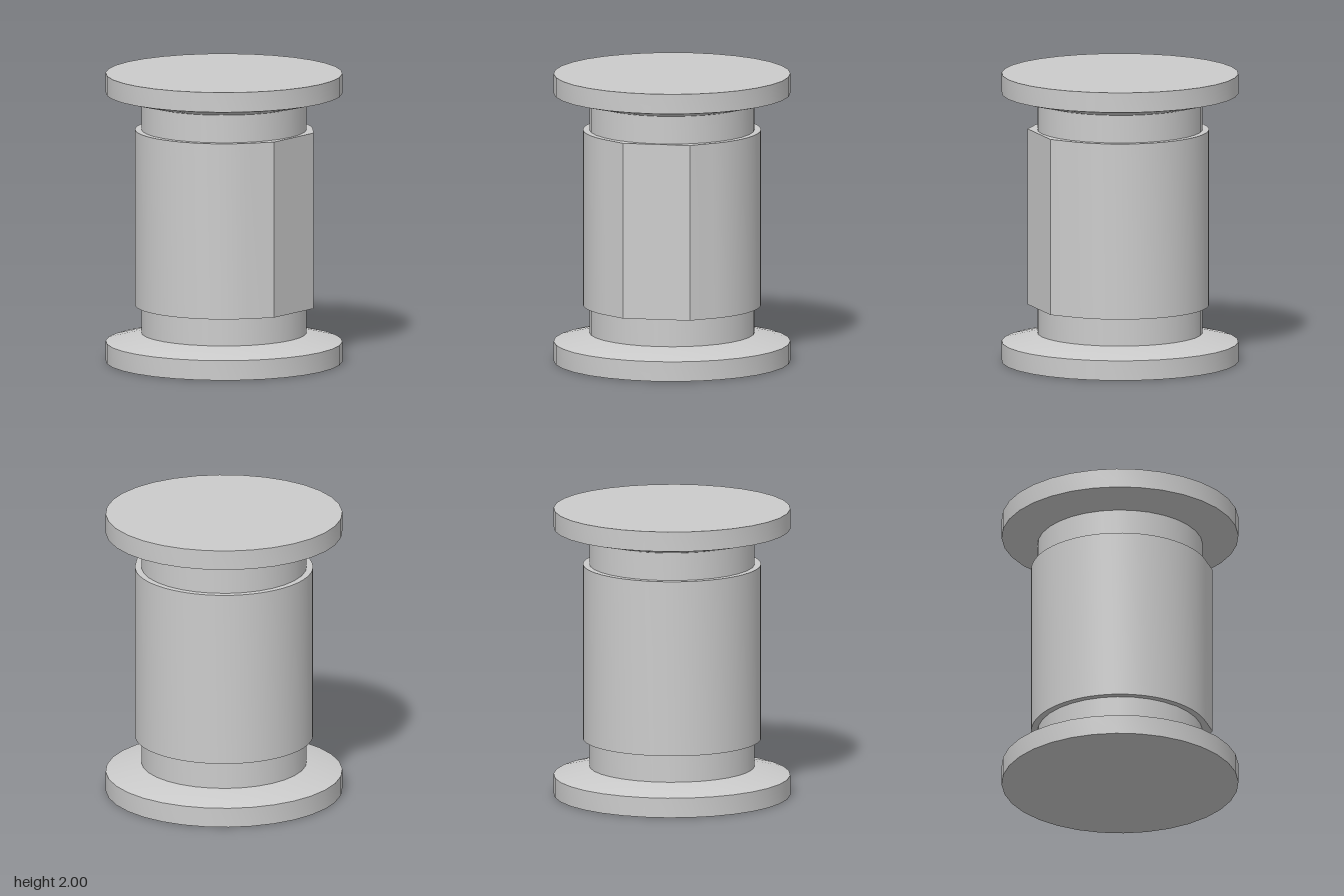
import * as THREE from 'three';
import { toCreasedNormals } from 'three/addons/utils/BufferGeometryUtils.js';

const material = new THREE.MeshStandardMaterial({ color: 0xcccccc });
const CREASE = 0.35;
const SIDES = 32;

function part(name, geometry) {
  const mesh = new THREE.Mesh(toCreasedNormals(geometry, CREASE), material);
  mesh.name = name;
  return mesh;
}

// Turned part from [radius, height] pairs, listed bottom to top
function turned(name, profile) {
  const points = profile.map(([r, y]) => new THREE.Vector2(r, y));
  return part(name, new THREE.LatheGeometry(points, SIDES));
}

// Round sleeve with a flat front panel joined by flats tangent to the round
function sleeve() {
  const radius = 0.61, front = 0.59, halfPanel = 0.233;
  const bottom = 0.39, top = 1.61;
  const tangent = Math.atan2(halfPanel, front) + Math.acos(radius / Math.hypot(halfPanel, front));

  const shape = new THREE.Shape();
  shape.moveTo(-halfPanel, -front);
  shape.lineTo(halfPanel, -front);
  shape.absarc(0, 0, radius, -Math.PI / 2 + tangent, 1.5 * Math.PI - tangent, false);
  shape.closePath();

  const geometry = new THREE.ExtrudeGeometry(shape, {
    depth: top - bottom, bevelEnabled: false, curveSegments: 28,
  });
  geometry.rotateX(-Math.PI / 2);
  geometry.translate(0, bottom, 0);
  return part('sleeve', geometry);
}

export function createModel() {
  const group = new THREE.Group();
  group.name = 'spool';

  // End flanges, each sloping in to the core; the upper mirrors the lower
  const flange = [[0, 0], [0.812, 0], [0.812, 0.137], [0.567, 0.198], [0, 0.198]];
  const mirrored = flange.map(([r, y]) => [r, 2 - y]).reverse();
  group.add(turned('lowerFlange', flange));
  group.add(turned('upperFlange', mirrored));

  // Core running between the flanges
  group.add(turned('core', [[0.567, 0.198], [0.567, 1.802]]));

  group.add(sleeve());
  return group;
}
